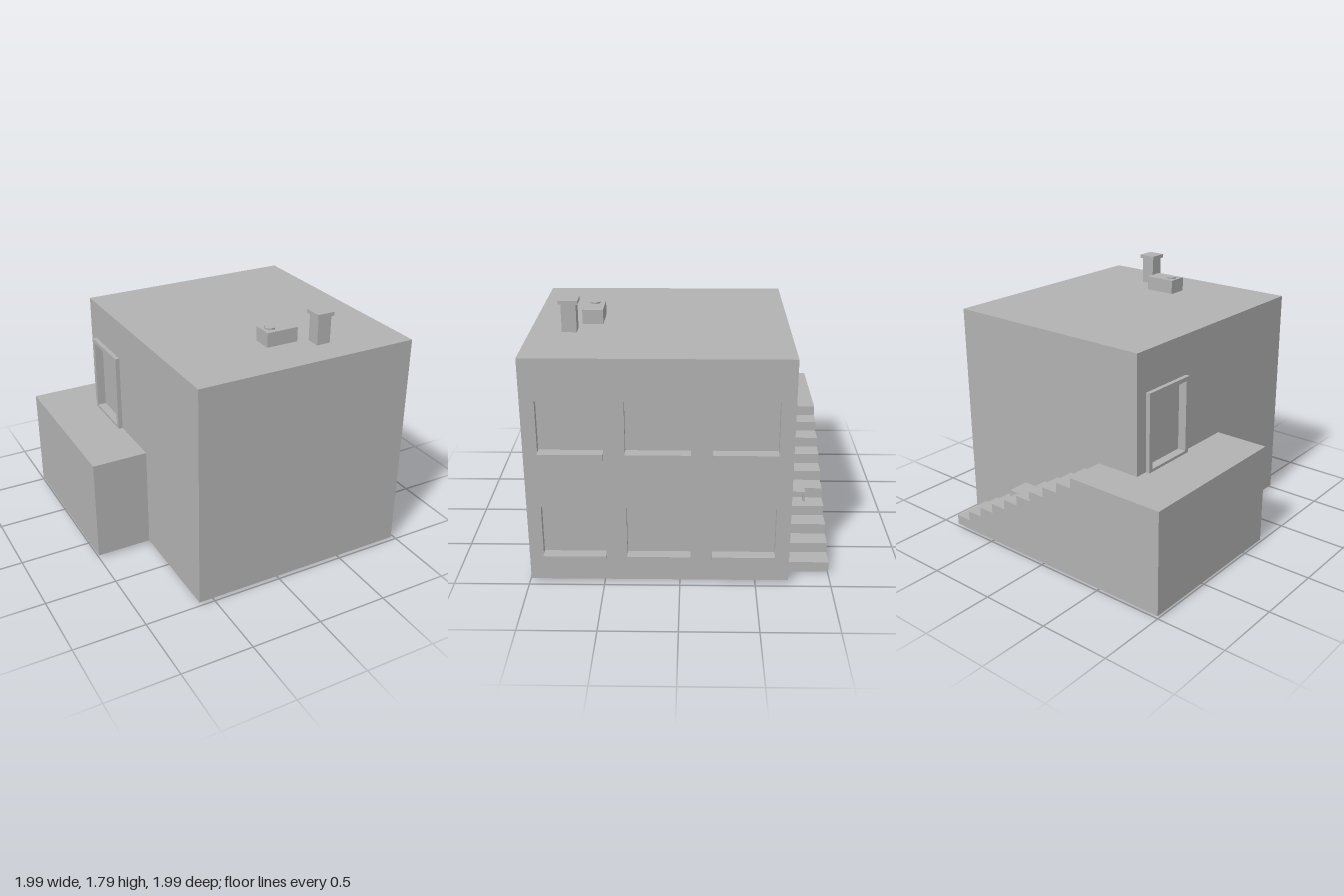
import * as THREE from 'three';

const plaster = new THREE.MeshStandardMaterial({ color: 0xb2b2b2 });
plaster.name = 'plaster grey';

// Box given by its extents on each axis
function block(name, [x0, x1], [y0, y1], [z0, z1]) {
  const mesh = new THREE.Mesh(new THREE.BoxGeometry(x1 - x0, y1 - y0, z1 - z0), plaster);
  mesh.position.set((x0 + x1) / 2, (y0 + y1) / 2, (z0 + z1) / 2);
  mesh.name = name;
  return mesh;
}

// Counter-clockwise rectangle in the (-z, y) plane
function rect(path, [z0, z1], [y0, y1]) {
  path.moveTo(-z1, y0);
  path.lineTo(-z0, y0);
  path.lineTo(-z0, y1);
  path.lineTo(-z1, y1);
  path.closePath();
  return path;
}

// Slab facing the x axis with rectangular openings
function sidePanel(name, [x0, x1], z, y, openings) {
  const shape = rect(new THREE.Shape(), z, y);
  for (const o of openings) shape.holes.push(rect(new THREE.Path(), o.z, o.y));
  const geo = new THREE.ExtrudeGeometry(shape, { depth: x1 - x0, bevelEnabled: false });
  const mesh = new THREE.Mesh(geo.rotateY(Math.PI / 2), plaster);
  mesh.position.x = x0;
  mesh.name = name;
  return mesh;
}

export function createModel() {
  const model = new THREE.Group();
  model.name = 'house';
  const add = (...parts) => model.add(...parts);
  const base = 0.02, roof = 1.58, houseZ = [-0.72, 0.99];

  // Main volume between the two pierced side walls
  add(block('houseCore', [-0.58, 0.915], [base, roof], houseZ));

  // Window wall: two rows of three recessed windows with projecting sills
  const windows = [];
  for (const [sill, bottom, top] of [[0.183, 0.21, 0.56], [0.907, 0.95, 1.3]]) {
    for (const z of [[-0.625, -0.21], [-0.07, 0.345], [0.482, 0.897]]) {
      windows.push({ z, y: [bottom, top] });
      add(block('windowSill', [0.915, 0.99], [sill, bottom], z));
    }
  }
  add(sidePanel('windowWall', [0.915, 0.96], houseZ, [base, roof], windows));

  // Door wall with a projecting frame around the recessed door
  const door = { z: [-0.6, -0.24], y: [0.77, 1.27] };
  add(sidePanel('doorWall', [-0.61, -0.58], houseZ, [base, roof], [door]));
  add(sidePanel('doorFrame', [-0.64, -0.61], [-0.63, -0.21], [0.75, 1.3], [door]));

  // Side landing
  const landingTop = 0.75;
  add(block('landing', [-1, -0.61], [base, landingTop], [-0.72, 0.2]));

  // Solid back staircase: stepped profile extruded across its width
  const steps = 9, run = 1.14 / steps, rise = (landingTop - base) / (steps + 1);
  const profile = new THREE.Shape();
  profile.moveTo(-1, base);
  profile.lineTo(0.853, base);
  for (let i = steps; i >= 0; i--) {
    const y = landingTop - i * rise;
    profile.lineTo(-0.287 + i * run, y);
    if (i > 0) profile.lineTo(-0.287 + (i - 1) * run, y);
  }
  profile.lineTo(-1, landingTop);
  profile.closePath();
  const stairs = new THREE.Mesh(
    new THREE.ExtrudeGeometry(profile, { depth: 0.28, bevelEnabled: false }), plaster);
  stairs.position.z = -1;
  stairs.name = 'stairs';
  add(stairs);

  // Small hatch surround emerging from the stairs, and its threshold below
  add(block('hatchTop', [0.225, 0.41], [0.37, 0.39], [-0.875, -0.72]));
  add(block('hatchSide', [0.3, 0.41], [0.1, 0.37], [-0.875, -0.862]));
  add(block('hatchThreshold', [0.165, 0.367], [0, 0.03], [-0.722, -0.708]));

  // Rooftop vent box with a hexagonal cap
  add(block('ventBox', [0.058, 0.284], [roof, 1.68], [0.522, 0.661]));
  const cap = new THREE.Mesh(new THREE.CylinderGeometry(0.04, 0.04, 0.012, 6), plaster);
  cap.geometry.rotateY(Math.PI / 6);
  cap.position.set(0.115, 1.685, 0.59);
  cap.name = 'ventCap';
  add(cap);

  // Chimney
  add(block('chimneyShaft', [0.36, 0.458], [roof, 1.77], [0.68, 0.778]));
  add(block('chimneyCap', [0.345, 0.471], [1.77, 1.795], [0.666, 0.792]));

  return model;
}
